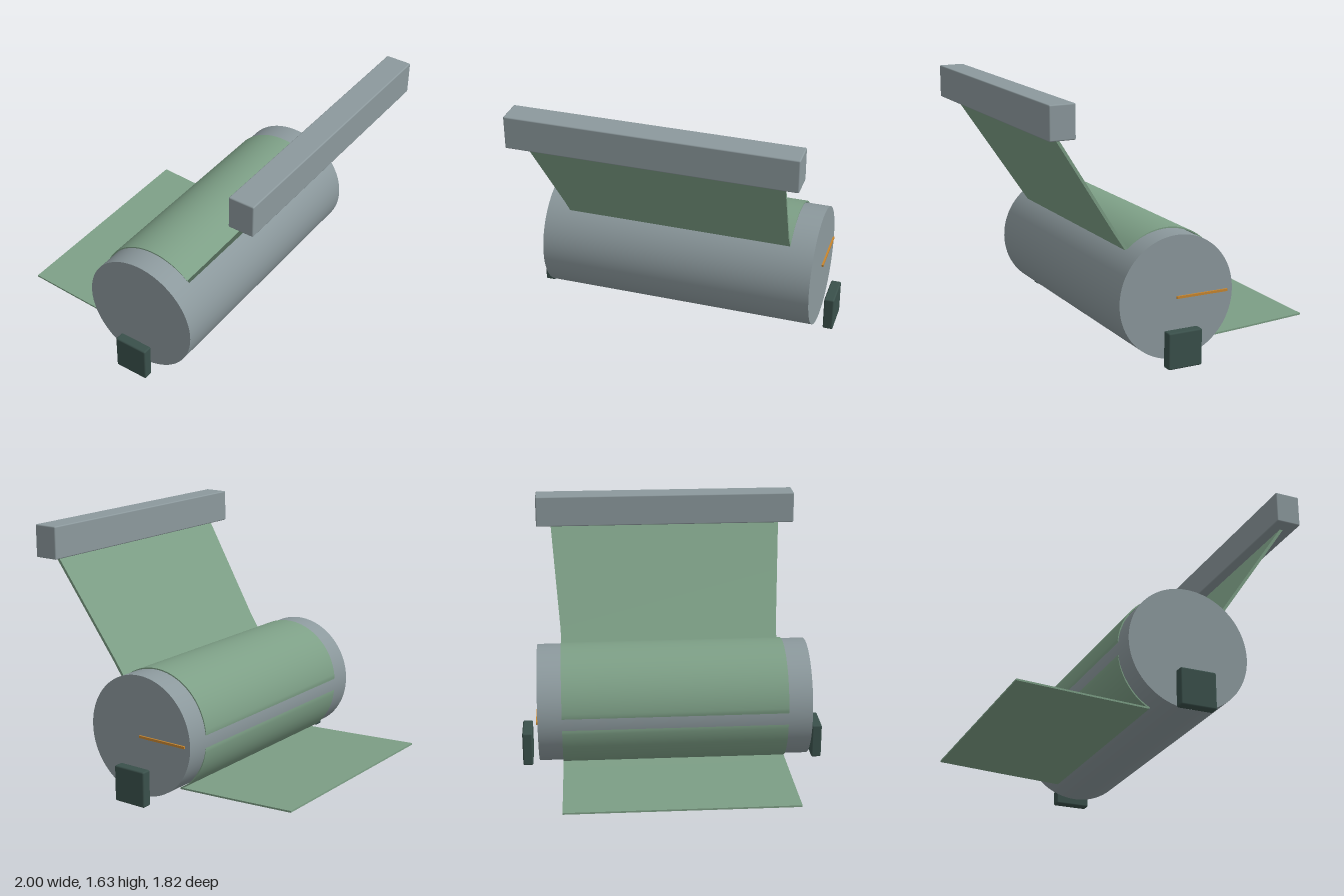
import * as THREE from 'three';
import { toCreasedNormals } from 'three/addons/utils/BufferGeometryUtils.js';
import { RoundedBoxGeometry } from 'three/addons/geometries/RoundedBoxGeometry.js';

const mat = (name, color) => {
  const m = new THREE.MeshStandardMaterial({ color });
  m.name = name;
  return m;
};

// Solid sheet swept along a path of [z, y, halfWidth]; thickness is centred on the path
function sheetGeometry(path, thickness) {
  const pos = [], idx = [];
  path.forEach(([z, y, w], i) => {
    const a = path[Math.max(i - 1, 0)], b = path[Math.min(i + 1, path.length - 1)];
    const dz = b[0] - a[0], dy = b[1] - a[1], l = Math.hypot(dz, dy);
    const nz = dy / l * thickness / 2, ny = -dz / l * thickness / 2;
    pos.push(-w, y + ny, z + nz, w, y + ny, z + nz, w, y - ny, z - nz, -w, y - ny, z - nz);
  });
  for (let i = 0; i < path.length - 1; i++) {
    for (let k = 0; k < 4; k++) {
      const a = i * 4 + k, b = i * 4 + (k + 1) % 4;
      idx.push(a, b, b + 4, a, b + 4, a + 4);
    }
  }
  const e = (path.length - 1) * 4;
  idx.push(0, 2, 1, 0, 3, 2, e, e + 1, e + 2, e, e + 2, e + 3);
  const g = new THREE.BufferGeometry();
  g.setAttribute('position', new THREE.Float32BufferAttribute(pos, 3));
  g.setIndex(idx);
  return toCreasedNormals(g, 0.6);
}

export function createModel() {
  const group = new THREE.Group();
  const steel = mat('steel grey', 0x8c999d);
  const green = mat('sheet green', 0x7d9f86);
  const dark = mat('dark green', 0x3a504b);
  const orange = mat('marker orange', 0xc8862f);
  green.side = THREE.DoubleSide;

  const add = (name, geo, material, x = 0, y = 0, z = 0) => {
    const m = new THREE.Mesh(geo, material);
    m.name = name;
    m.position.set(x, y, z);
    group.add(m);
    return m;
  };

  // Drum lying along x
  const cy = 0.41, cz = 0.092, R = 0.385;
  add('drum', new THREE.CylinderGeometry(R, R, 1.77, 96).rotateZ(Math.PI / 2), steel, 0, cy, cz);

  // Clamp bar above and in front
  add('clampBar', new RoundedBoxGeometry(1.77, 0.208, 0.164, 2, 0.008), steel, 0, 1.529, 0.829);

  // End supports
  for (const s of [-1, 1]) {
    add(s > 0 ? 'leftSupport' : 'rightSupport',
      new RoundedBoxGeometry(0.066, 0.23, 0.228, 2, 0.01), dark, s * 0.967, 0.115, 0.093);
  }

  // Radius marker on the left end of the drum
  add('radiusMarker', new THREE.BoxGeometry(0.012, 0.015, 0.35), orange, 0.89, 0.408, -0.08);

  // Feed sheet, flaring from the drum up to the bar
  const feed = [[0.353, 0.7, 0.73], [0.42, 0.8, 0.733], [0.838, 1.44, 0.79]];
  add('feedSheet', sheetGeometry(feed, 0.018), green);

  // Wrapped sheet: lies proud over the top, sinks flush at the back, lifts again below
  const wrap = [];
  const start = 49, end = 242, n = 64;
  for (let i = 0; i <= n; i++) {
    const deg = start + (end - start) * i / n;
    const a = THREE.MathUtils.degToRad(deg);
    const lift = deg < 180
      ? 0.011 * Math.sin(Math.PI * (deg - start) / (186 - start))
      : 0.011 * Math.min(1, Math.max(0, (deg - 183) / 45));
    const flush = Math.abs(deg - 180) < 6 ? -0.003 : 0.001;
    const r = R + lift * (Math.abs(deg - 180) < 6 ? 0 : 1) + flush - 0.004;
    wrap.push([cz + r * Math.cos(a), cy + r * Math.sin(a), 0.73]);
  }
  add('wrappedSheet', sheetGeometry(wrap, 0.008), green);

  // Exit sheet running out behind the drum
  add('exitSheet', sheetGeometry([[-0.095, 0.063, 0.73], [-0.5, 0.082, 0.73], [-0.912, 0.104, 0.73]], 0.011), green);

  return group;
}
